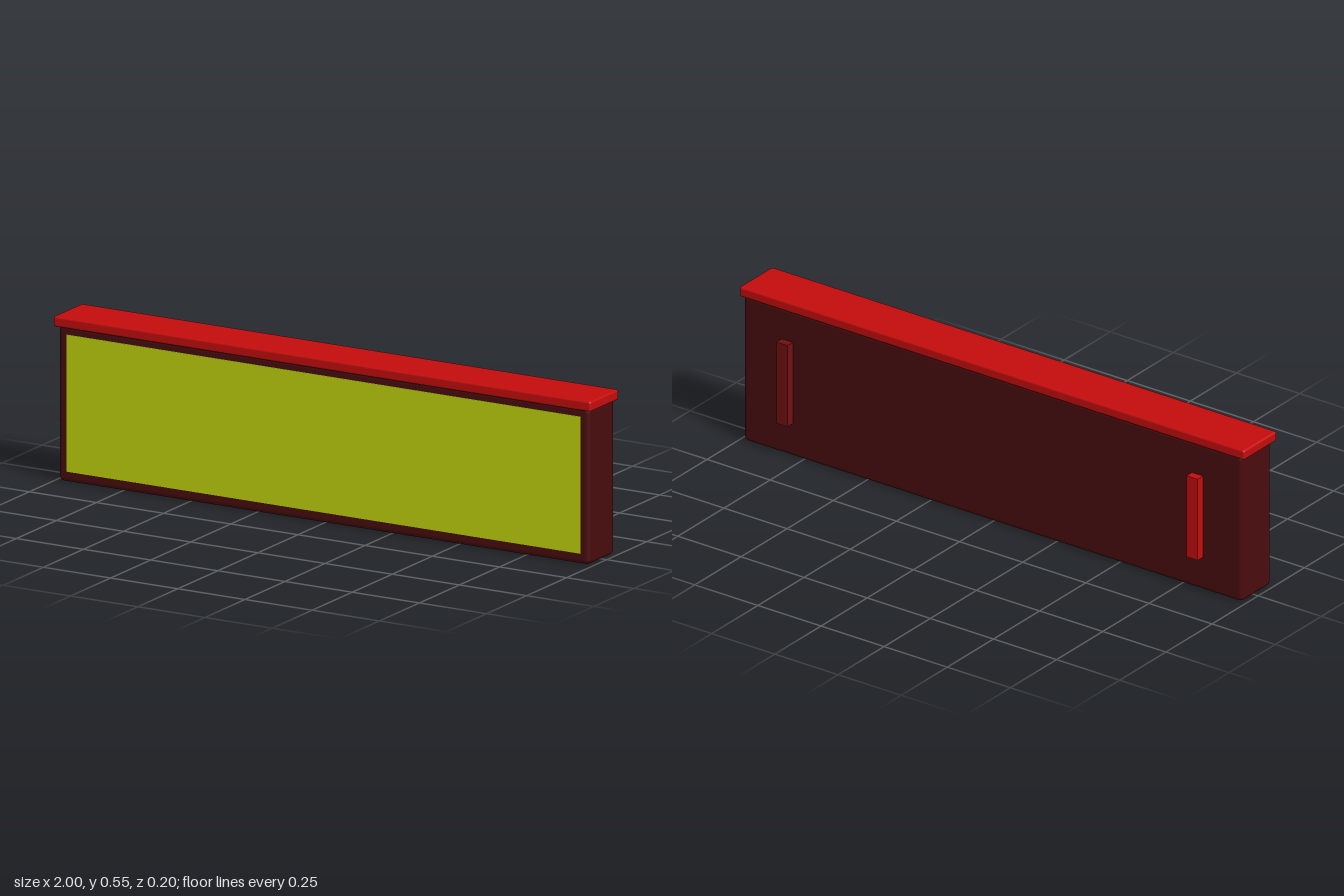
import * as THREE from 'three';
import { RoundedBoxGeometry } from 'three/addons/geometries/RoundedBoxGeometry.js';

const material = (name, color) => {
  const m = new THREE.MeshStandardMaterial({ color });
  m.name = name;
  return m;
};

export function createModel() {
  const group = new THREE.Group();
  const darkRed = material('dark red', 0x490c0e);
  const red = material('bright red', 0xc40d0d);
  const maroon = material('maroon', 0x700f11);
  const yellow = material('yellow green', 0xc5d60d);

  // Box spanning the given ranges, rounded when a radius is given
  const box = (name, mat, [x0, x1], [y0, y1], [z0, z1], radius = 0) => {
    const size = [x1 - x0, y1 - y0, z1 - z0];
    const geo = radius
      ? new RoundedBoxGeometry(...size, 3, radius)
      : new THREE.BoxGeometry(...size);
    const mesh = new THREE.Mesh(geo, mat);
    mesh.name = name;
    mesh.position.set((x0 + x1) / 2, (y0 + y1) / 2, (z0 + z1) / 2);
    group.add(mesh);
  };

  // Case, overhanging lid and front panel
  box('case', darkRed, [-0.987, 0.987], [0, 0.52], [-0.072, 0.09], 0.016);
  box('lid', red, [-1, 1], [0.513, 0.547], [-0.077, 0.102], 0.007);
  box('frontPanel', yellow, [-0.957, 0.957], [0.035, 0.49], [0.086, 0.091]);

  // Mounting strips on the back
  for (const [name, x, mat] of [['leftBackStrip', 0.812, maroon], ['rightBackStrip', -0.812, red]]) {
    box(name, mat, [x - 0.022, x + 0.022], [0.118, 0.408], [-0.101, -0.07]);
  }
  return group;
}
